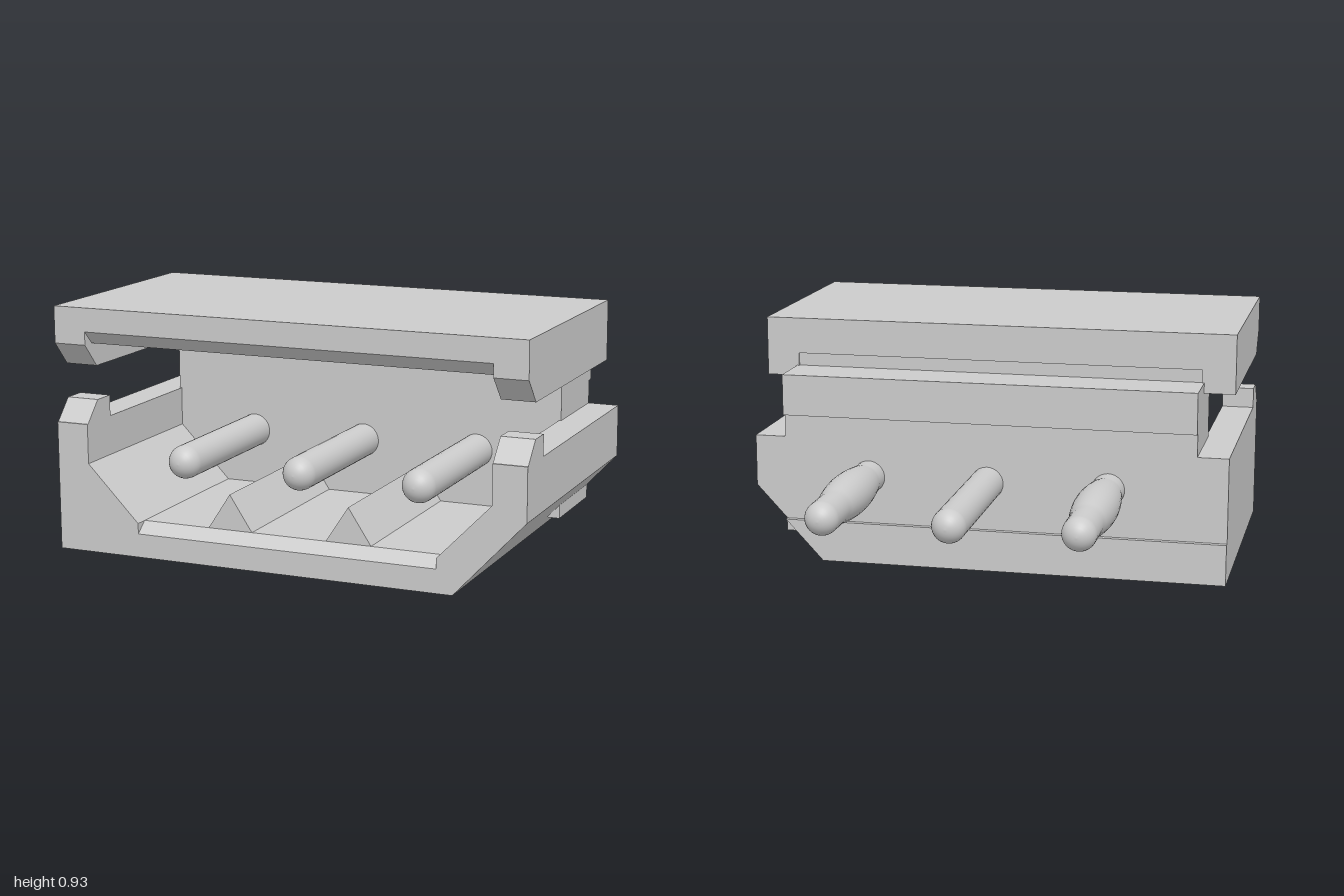
import * as THREE from 'three';

const W = 0.928;      // half width of the housing
const IN = 0.8;       // half width of the opening
const FLOOR_W = 0.595;

export function createModel() {
  const model = new THREE.Group();
  const housing = new THREE.Group();
  housing.name = 'connector';
  // The whole connector stands slightly turned about the vertical
  housing.position.set(0.07, 0, 0.845);
  housing.rotation.y = 0.1344;
  model.add(housing);

  const flat = new THREE.MeshStandardMaterial({ color: 0xcccccc, flatShading: true });
  const smooth = new THREE.MeshStandardMaterial({ color: 0xcccccc });

  const add = (name, geometry, material = flat) => {
    const mesh = new THREE.Mesh(geometry, material);
    mesh.name = name;
    housing.add(mesh);
    return mesh;
  };
  const shapeOf = (pts) => new THREE.Shape(pts.map(([a, b]) => new THREE.Vector2(a, b)));

  // Outline in (x, y), running from z0 (back) to z1 (front)
  const alongZ = (name, pts, z0, z1) => {
    const g = new THREE.ExtrudeGeometry(shapeOf(pts), { depth: z1 - z0, bevelEnabled: false });
    return add(name, g.translate(0, 0, z0));
  };
  // Outline in (z, y), running from x0 to x1
  const alongX = (name, pts, x0, x1) => {
    const g = new THREE.ExtrudeGeometry(shapeOf(pts), { depth: x1 - x0, bevelEnabled: false });
    return add(name, g.rotateY(-Math.PI / 2).translate(x1, 0, 0));
  };
  const box = (name, x0, x1, y0, y1, z0, z1) =>
    add(name, new THREE.BoxGeometry(x1 - x0, y1 - y0, z1 - z0)
      .translate((x0 + x1) / 2, (y0 + y1) / 2, (z0 + z1) / 2));

  // Lower tray, keyed by one bevelled bottom edge
  alongZ('tray', [
    [-W, 0], [0.656, 0], [W, 0.29], [W, 0.49], [IN, 0.49], [IN, 0.34],
    [FLOOR_W, 0.13], [FLOOR_W, 0.09], [-FLOOR_W, 0.09], [-FLOOR_W, 0.13],
    [-IN, 0.34], [-IN, 0.49], [-W, 0.49],
  ], -1.094, 0);

  // Tray floor with a sloping front sill
  alongX('traySill', [[0, 0.09], [-0.05, 0.13], [-1.0, 0.13], [-1.0, 0.09]], -FLOOR_W, FLOOR_W);

  // Raised band along the bottom of the back
  alongZ('backBand', [[-W, 0], [0.656, 0], [0.806, 0.16], [-W, 0.16]], -1.115, -1.08);

  // Back wall: main block, upper ledge and the piece joining the roof
  box('backWall', -0.808, 0.808, 0.11, 0.74, -1.094, -0.743);
  box('backLedge', -0.808, 0.808, 0.58, 0.74, -1.116, -1.09);
  box('roofJoint', -0.808, 0.808, 0.7, 0.82, -0.915, -0.743);

  // Roof with a bevelled slot edge
  alongX('roof', [[0, 0.84], [0, 0.93], [-0.923, 0.93], [-0.923, 0.79], [-0.05, 0.79]], -IN, IN);

  for (const side of [-1, 1]) {
    const x0 = side < 0 ? -W : IN;
    const x1 = side < 0 ? -IN : W;
    // Roof side rails, cut away at the front
    alongX('roofRail', [[0, 0.93], [0, 0.79], [-0.08, 0.7], [-0.923, 0.7], [-0.923, 0.93]], x0, x1);
    // Catches on top of the tray walls
    alongX('catch', [[0, 0.485], [-0.08, 0.57], [-0.17, 0.57], [-0.17, 0.485]], x0, x1);
    // Triangular ribs on the floor
    const c = side * 0.237;
    alongZ('floorRib', [[c - 0.09, 0.128], [c + 0.09, 0.128], [c, 0.265]], -0.75, -0.05);
  }

  // Contact pins: round ends, the outer two swelling behind the wall
  const R = 0.064, FRONT = 0.09, BACK = 1.775;
  const pinGeometry = (bulge) => {
    const pts = [];
    for (let i = 0; i <= 8; i++) {
      const a = (i / 8) * Math.PI / 2;
      pts.push([R * Math.sin(a), -BACK + R - R * Math.cos(a)]);
    }
    if (bulge) {
      for (let i = 0; i <= 14; i++) {
        const t = i / 14;
        const swell = Math.pow(Math.sin(t * Math.PI), 0.9);
        pts.push([R + 0.019 * swell, -1.58 + 0.42 * t]);
      }
    }
    for (let i = 8; i >= 0; i--) {
      const a = (i / 8) * Math.PI / 2;
      pts.push([R * Math.sin(a), -FRONT - R + R * Math.cos(a)]);
    }
    const profile = pts.map(([r, d]) => new THREE.Vector2(Math.max(r, 0), d));
    return new THREE.LatheGeometry(profile, 32).rotateX(Math.PI / 2);
  };
  for (const k of [-1, 0, 1]) {
    add('contactPin', pinGeometry(k !== 0), smooth).position.set(k * 0.471, 0.345, 0);
  }

  return model;
}
